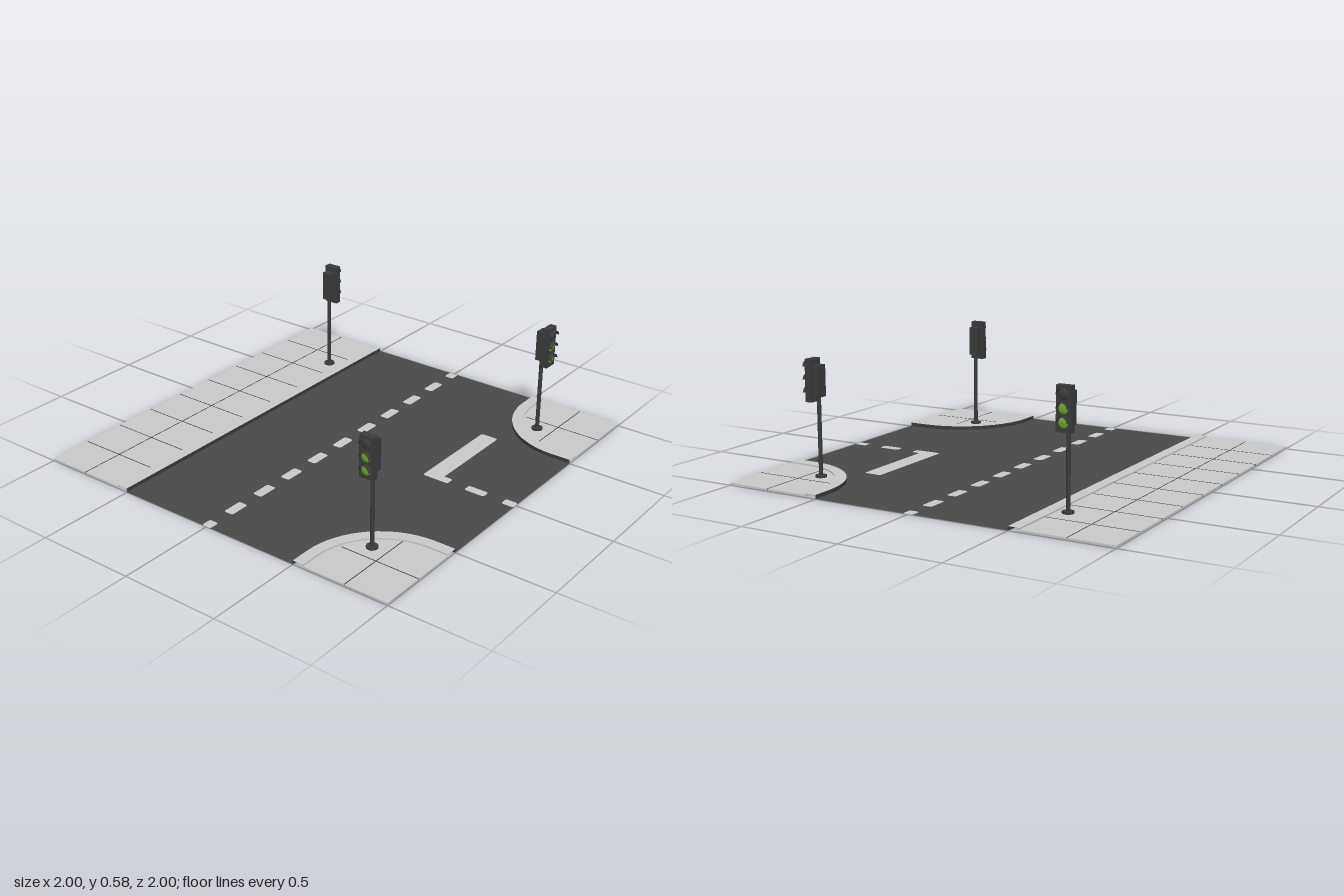
import * as THREE from 'three';

const mat = (name, color, side = THREE.FrontSide) => {
  const m = new THREE.MeshStandardMaterial({ color, side });
  m.name = name;
  return m;
};

export function createModel() {
  const asphalt = mat('asphalt', 0x484848, THREE.DoubleSide);
  const concrete = mat('concrete', 0xc8c8c8, THREE.DoubleSide);
  const dark = mat('darkMetal', 0x3a3a3a, THREE.DoubleSide);
  const green = mat('greenLens', 0x68a82c);

  const root = new THREE.Group();
  root.name = 'junction';
  const add = (parent, name, geo, material, x = 0, y = 0, z = 0) => {
    const m = new THREE.Mesh(geo, material);
    m.name = name;
    m.position.set(x, y, z);
    parent.add(m);
    return m;
  };
  const box = (parent, name, material, x0, x1, y0, y1, z0, z1) =>
    add(parent, name, new THREE.BoxGeometry(x1 - x0, y1 - y0, z1 - z0), material,
      (x0 + x1) / 2, (y0 + y1) / 2, (z0 + z1) / 2);
  // Flat and solid plates drawn in plan as (x, z)
  const flat = (pts) => new THREE.ShapeGeometry(new THREE.Shape(pts)).rotateX(Math.PI / 2);
  const slab = (shape, depth) =>
    new THREE.ExtrudeGeometry(shape, { depth, bevelEnabled: false, curveSegments: 4 }).rotateX(Math.PI / 2);
  // Upright ribbon along a plan path
  const wall = (pts, y0, y1) => {
    const g = new THREE.PlaneGeometry(1, 1, pts.length - 1, 1);
    const p = g.attributes.position;
    for (let i = 0; i < p.count; i++) {
      const q = pts[i % pts.length];
      p.setXYZ(i, q.x, i < pts.length ? y1 : y0, q.y);
    }
    g.computeVertexNormals();
    return g;
  };
  const v = (x, z) => new THREE.Vector2(x, z);

  // Edge lines of the kerbs, d = distance inward from the road
  const cornerEdge = (s, d) => {
    const pts = [v(s, 0.5 + d)];
    for (let i = 0; i <= 16; i++) {
      const a = (i / 16) * Math.PI / 2, r = 0.4 - d;
      pts.push(v(s * (0.9 - r * Math.sin(a)), 0.9 - r * Math.cos(a)));
    }
    pts.push(v(s * (0.5 + d), 1));
    return pts;
  };
  const backEdge = (d) => [v(-1, -0.5 - d), v(1, -0.5 - d)];

  // Road surface
  add(root, 'road', flat([...backEdge(0), ...cornerEdge(1, 0), ...cornerEdge(-1, 0).reverse()]),
    asphalt, 0, 0.001, 0);

  // Painted road markings
  const marking = (name, x0, x1, z0, z1, r = 0.012) => {
    const s = new THREE.Shape();
    s.moveTo(x0 + r, z0);
    s.lineTo(x1 - r, z0); s.quadraticCurveTo(x1, z0, x1, z0 + r);
    s.lineTo(x1, z1 - r); s.quadraticCurveTo(x1, z1, x1 - r, z1);
    s.lineTo(x0 + r, z1); s.quadraticCurveTo(x0, z1, x0, z1 - r);
    s.lineTo(x0, z0 + r); s.quadraticCurveTo(x0, z0, x0 + r, z0);
    add(root, name, slab(s, 0.002), concrete, 0, 0.002, 0);
  };
  for (let i = -5; i <= 5; i++) {
    const c = i * 0.2;
    marking('centreDash', Math.max(-1, c - 0.053), Math.min(1, c + 0.053), -0.025, 0.025);
  }
  marking('stopLine', -0.022, 0.5, 0.5, 0.592);
  marking('stopLineLeg', -0.022, 0.024, 0.56, 0.64);
  marking('sideDash', -0.022, 0.022, 0.733, 0.84);
  marking('sideDash', -0.022, 0.022, 0.936, 1);

  // Kerbs and pavements
  const W = 0.056, PAVE = 0.012, KERB = 0.02, T = 2 / 9;
  const pavement = (name, outer, inner, closing) => {
    const g = new THREE.Group();
    g.name = name;
    root.add(g);
    add(g, 'kerbTop', flat([...outer, ...[...inner].reverse()]), concrete, 0, KERB, 0);
    add(g, 'kerbFace', wall(outer, 0, KERB), dark);
    add(g, 'kerbBack', wall(inner, PAVE - 0.006, KERB), concrete);
    add(g, 'paving', slab(new THREE.Shape([...inner, ...closing]), 0.007), concrete, 0, PAVE, 0);
    return g;
  };
  const joint = (g, x0, x1, z0, z1) => {
    const h = 0.002;
    if (x0 === x1) box(g, 'joint', dark, x0 - h, x0 + h, 0.0042, PAVE + 0.0008, z0, z1);
    else box(g, 'joint', dark, x0, x1, 0.0042, PAVE + 0.0008, z0 - h, z0 + h);
  };
  const back = pavement('backPavement', backEdge(0), backEdge(W), [v(1, -1), v(-1, -1)]);
  for (let i = 1; i < 9; i++) joint(back, -1 + i * T, -1 + i * T, -1, -0.5 - W);
  joint(back, -1, 1, -1 + T, -1 + T);
  for (const s of [-1, 1]) {
    const g = pavement(s > 0 ? 'leftCorner' : 'rightCorner', cornerEdge(s, 0), cornerEdge(s, W), [v(s, 1)]);
    const c = s * (1 - T);
    joint(g, c, c, 0.59, 1);
    joint(g, Math.min(s, s * 0.58), Math.max(s, s * 0.58), 1 - T, 1 - T);
  }

  // Traffic lights, built facing +z around the pole
  const trafficLight = (name, x, z, turn) => {
    const g = new THREE.Group();
    g.name = name;
    g.position.set(x, 0, z);
    g.rotation.y = turn;
    root.add(g);
    add(g, 'basePlate', new THREE.CylinderGeometry(0.028, 0.028, 0.012, 12), dark, 0, 0.016, 0);
    add(g, 'pole', new THREE.CylinderGeometry(0.01, 0.01, 0.41, 12), dark, 0, 0.217, 0);
    box(g, 'backBox', dark, -0.026, 0.026, 0.4, 0.552, -0.022, 0.016);
    box(g, 'housing', dark, -0.036, 0.036, 0.375, 0.58, 0.016, 0.05);
    [0.418, 0.479, 0.541].forEach((y, i) => {
      const lens = new THREE.SphereGeometry(0.024, 16, 5, 0, Math.PI * 2, 0, Math.PI / 2);
      lens.scale(1, 0.3, 1).rotateX(Math.PI / 2);
      add(g, i < 2 ? 'litLens' : 'unlitLens', lens, i < 2 ? green : dark, 0, y, 0.05);
      // Half-round hood over the lens
      const hood = new THREE.CylinderGeometry(0.027, 0.027, 0.022, 14, 1, true, -Math.PI / 2, Math.PI);
      hood.rotateX(-Math.PI / 2).rotateZ(0);
      hood.computeBoundingBox();
      if (hood.boundingBox.max.y < 0.01) hood.rotateZ(Math.PI);
      add(g, 'hood', hood, dark, 0, y, 0.06);
    });
  };
  trafficLight('leftTrafficLight', 0.7, 0.7, 0);
  trafficLight('rightTrafficLight', -0.7, 0.7, -Math.PI / 2);
  trafficLight('backTrafficLight', 0.676, -0.612, Math.PI / 2);

  return root;
}
